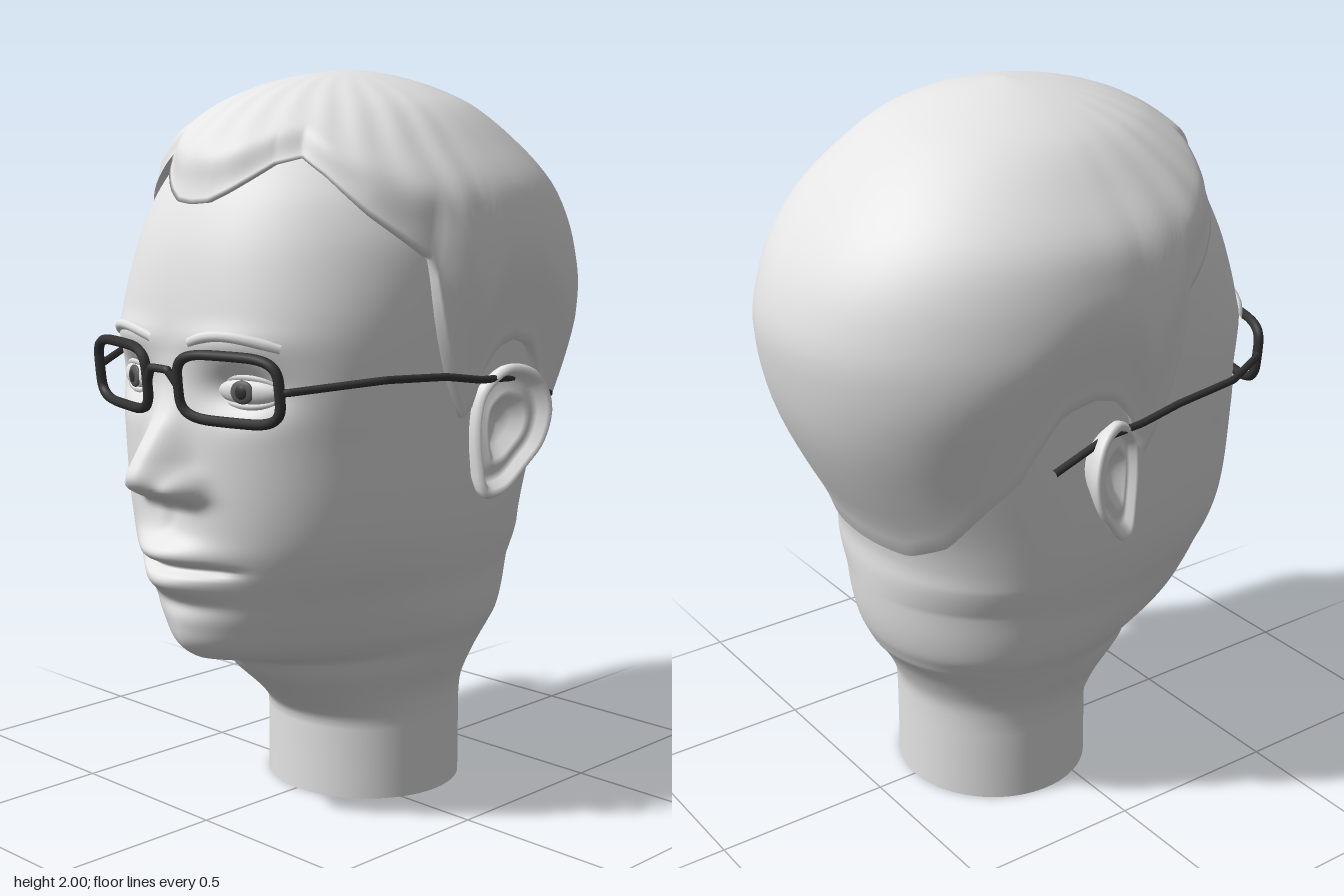
import * as THREE from 'three';

// Head sections: y, front z, back z, half width, centre z, roundness
const SKIN = [
  [0, .16, -.38, .28, -.11, 2], [.2, .16, -.38, .28, -.11, 2], [.23, .165, -.38, .28, -.11, 2],
  [.3, .235, -.385, .29, -.11, 1.95], [.38, .33, -.42, .325, -.1, 1.8], [.425, .37, -.45, .345, -.1, 1.68],
  [.445, .44, -.465, .355, -.1, 1.58], [.46, .51, -.472, .363, -.1, 1.54], [.5, .565, -.49, .384, -.1, 1.6],
  [.56, .585, -.505, .402, -.09, 1.72], [.64, .59, -.515, .418, -.08, 1.95], [.72, .595, -.52, .442, -.06, 2.15],
  [.8, .602, -.52, .46, -.05, 2.27], [.9, .605, -.545, .473, -.05, 2.35], [1.05, .605, -.615, .483, -.05, 2.42],
  [1.2, .6, -.68, .49, -.05, 2.55], [1.35, .597, -.71, .5, -.05, 2.45], [1.5, .57, -.69, .505, -.05, 2.2],
  [1.6, .535, -.65, .495, -.05, 2.1], [1.7, .48, -.575, .455, -.05, 2.1], [1.8, .4, -.45, .37, -.05, 2.1],
  [1.9, .25, -.27, .22, -.05, 2.1],
];
const HAIR = [
  [.8, .63, -.528, .475, -.05, 2.3], [.9, .63, -.582, .488, -.05, 2.3], [1, .63, -.634, .505, -.05, 2.28],
  [1.2, .625, -.707, .54, -.05, 2.25], [1.4, .615, -.743, .565, -.05, 2.15], [1.5, .595, -.73, .566, -.05, 2.1],
  [1.6, .57, -.69, .553, -.05, 2.1], [1.7, .535, -.62, .522, -.05, 2.1], [1.8, .475, -.523, .442, -.05, 2.1],
  [1.9, .345, -.395, .338, -.05, 2], [1.95, .235, -.285, .238, -.05, 2], [1.98, .12, -.185, .14, -.05, 2],
  [1.993, .03, -.11, .07, -.05, 2], [2, -.05, -.05, 0, -.05, 2],
];
// Hairline: angle from the front, height
const HAIRLINE = [
  [0, 1.655], [.1, 1.66], [.2, 1.685], [.44, 1.755], [.6, 1.772], [.72, 1.73], [.95, 1.63], [1.25, 1.52],
  [1.34, 1.365], [1.43, 1.2], [1.5, 1.08], [1.54, 1.2], [1.59, 1.28], [1.69, 1.3], [1.816, 1.275],
  [1.9, 1.2], [2.015, 1.1], [2.21, 1.01], [2.48, .89], [2.75, .835], [3.15, .83],
];
// Nose ridge: y, height, half width
const NOSE = [
  [.875, 0, .09], [.9, .022, .095], [.93, .1, .092], [.97, .135, .082], [1.02, .112, .07],
  [1.085, .066, .06], [1.14, .028, .054], [1.2, .006, .05], [1.28, 0, .05],
];

// Smooth table lookup
function sample(table, y) {
  const last = table.length - 1;
  y = THREE.MathUtils.clamp(y, table[0][0], table[last][0]);
  let i = 0;
  while (i < last - 1 && y > table[i + 1][0]) i++;
  const slope = (k, c) => {
    const p = table[Math.max(k - 1, 0)], q = table[Math.min(k + 1, last)];
    return (q[c] - p[c]) / (q[0] - p[0]);
  };
  const A = table[i], B = table[i + 1], h = B[0] - A[0], s = (y - A[0]) / h;
  const s2 = s * s, s3 = s2 * s;
  return A.slice(1).map((v, k) => v * (2 * s3 - 3 * s2 + 1) + B[k + 1] * (3 * s2 - 2 * s3)
    + h * (slope(i, k + 1) * (s3 - 2 * s2 + s) + slope(i + 1, k + 1) * (s3 - s2)));
}

function hairlineAt(a) {
  a = Math.abs(a);
  let i = 0;
  while (i < HAIRLINE.length - 2 && a > HAIRLINE[i + 1][0]) i++;
  const [p, q] = [HAIRLINE[i], HAIRLINE[i + 1]];
  return THREE.MathUtils.lerp(p[1], q[1], (a - p[0]) / (q[0] - p[0]));
}

// The back half stays close to an ellipse whatever the roundness of the face
function ringPoint(table, a, y) {
  const [f, b, w, zc, n] = sample(table, y);
  const s = Math.sin(a), c = Math.cos(a);
  const e = 2 / (c > 0 ? n : THREE.MathUtils.clamp(n, 2, 2.2));
  return new THREE.Vector3(w * Math.sign(s) * Math.abs(s) ** e, y,
    zc + (c > 0 ? f - zc : b - zc) * Math.abs(c) ** e);
}

const bump = (v, centre, width) => Math.exp(-(((v - centre) / width) ** 2));

// Raised and sunken features of the face
function relief(x, y) {
  const [h, w] = sample(NOSE, y);
  let d = h * Math.exp(-((x / w) ** 2.3));
  d += .04 * bump(x, .09, .034) * bump(y, .945, .038);                  // nostril wings
  d -= .055 * bump(x, .205, .1) * bump(y, 1.195, .058);                 // eye sockets
  d += .014 * bump(x, .18, .14) * bump(y, 1.32, .04);                   // brow ridge
  d += .036 * bump(x, 0, .15) * bump(y, .735, .085);                    // mouth mound
  d += .036 * bump(x, 0, .13) * bump(y, .77, .032);                     // upper lip
  d += .03 * bump(x, 0, .12) * bump(y, .684, .034);                     // lower lip
  d -= .032 * Math.exp(-((x / .18) ** 6)) * bump(y, .728, .013);        // mouth line
  d -= .008 * bump(x, 0, .02) * bump(y, .84, .04);                      // groove under nose
  d -= .012 * bump(x, 0, .13) * bump(y, .622, .025);                    // chin crease
  return d;
}

function skinPoint(a, y) {
  const p = ringPoint(SKIN, a, y);
  if (Math.cos(a) > 0) p.z += relief(Math.abs(p.x), y);
  return p;
}

function faceZ(x, y) {
  const s = sample(SKIN, y);
  return skinPoint(Math.asin((Math.abs(x) / s[2]) ** (s[4] / 2)), y).z;
}

// Closed loft through rings of equal point count
function loft(rings) {
  const cols = rings[0].length, index = [];
  for (let i = 0; i < rings.length - 1; i++) for (let j = 0; j < cols; j++) {
    const a = i * cols + j, b = i * cols + (j + 1) % cols;
    index.push(a, b, b + cols, a, b + cols, a + cols);
  }
  const g = new THREE.BufferGeometry().setFromPoints(rings.flat());
  g.setIndex(index);
  g.computeVertexNormals();
  return g;
}

// Ring angles, closer together at the face
const angles = n => Array.from({ length: n }, (_, j) => {
  const u = -1 + 2 * j / n;
  return Math.PI * (.45 * u + .55 * u ** 3);
});

const vec = p => new THREE.Vector3(...p);
const tube = (points, r, closed = false, tension = 0.5, steps = 64) => new THREE.TubeGeometry(
  new THREE.CatmullRomCurve3(points, closed, 'catmullrom', tension), steps, r, 8, closed);

export function createModel() {
  const mat = (name, color) => Object.assign(new THREE.MeshStandardMaterial({ color }), { name });
  const grey = mat('plaster grey', 0xe4e4e4);
  grey.side = THREE.DoubleSide; // the neck is open below
  const dark = mat('frame charcoal', 0x333333);
  const irisGrey = mat('iris grey', 0x5c5c5c);
  const model = new THREE.Group();
  model.name = 'head';
  const add = (parent, name, geometry, material) => {
    const m = new THREE.Mesh(geometry, material);
    m.name = name;
    parent.add(m);
    return m;
  };

  // Neck and face, with an open base
  const heights = [0, .07, .14];
  for (let y = .2; y < .42; y += .02) heights.push(y);
  for (let y = .42; y < 1.4; y += .008) heights.push(y);
  for (let y = 1.4; y <= 1.9; y += .025) heights.push(y);
  const headAngles = angles(180);
  add(model, 'faceAndNeck', loft(heights.map(y => headAngles.map(a => skinPoint(a, y)))), grey);

  // Hair cap from the hairline up to the crown, with fine radial strands in front
  const hairAngles = angles(240), hairRows = 40, hairRings = [];
  for (let i = -1; i <= hairRows; i++) {
    const t = Math.max(i, 0) / hairRows;
    const k = i < 0 ? 0 : THREE.MathUtils.lerp(.4, 1, THREE.MathUtils.smoothstep(t, 0, .25));
    hairRings.push(hairAngles.map(a => {
      const low = hairlineAt(a), y = low + (2 - low) * Math.sin(t * Math.PI / 2);
      const p = skinPoint(a, Math.min(y, 1.9)).setY(y).lerp(ringPoint(HAIR, a, y), k);
      const strand = .008 * Math.sin(27 * a + 5 * t) * Math.sin(Math.PI * t) ** 2
        * THREE.MathUtils.smoothstep(Math.cos(a), -.3, .5);
      p.x *= 1 + strand;
      p.z += (p.z + .05) * strand;
      return p;
    }));
  }
  add(model, 'hair', loft(hairRings), grey);

  // Ear outline (z, y) and its folds (scale, outward height)
  const earOutline = new THREE.CatmullRomCurve3([
    [0, 1.1], [-.02, 1.18], [-.09, 1.24], [-.165, 1.215], [-.2, 1.13], [-.18, 1.03],
    [-.13, .96], [-.07, .895], [-.025, .888], [-.005, .97],
  ].map(([z, y]) => new THREE.Vector3(0, y, z)), true).getPoints(48).slice(0, 48);
  const earFolds = [[.01, -.02], [.3, -.016], [.46, .01], [.56, .014], [.68, .002], [.78, .008],
    [.86, .03], [.95, .034], [1, .022], [.97, .002], [.85, -.02], [.55, -.07]];
  const earGeometry = loft(earFolds.map(([s, h]) => earOutline.map(p => {
    const z = -.085 + (p.z + .085) * s;
    return new THREE.Vector3(.485 - .45 * z + h, 1.08 + (p.y - 1.08) * s, z);
  })));

  // Eyelid loop and eyebrow path
  const lidPoints = Array.from({ length: 24 }, (_, i) => {
    const a = i / 24 * Math.PI * 2;
    return new THREE.Vector3(.094 * Math.cos(a), .037 * Math.sin(a), .02 * Math.sin(a) ** 2 - .006);
  });
  const browPoints = Array.from({ length: 9 }, (_, i) => {
    const s = i / 8, x = .075 + .235 * s, y = 1.305 + .034 * Math.sin(Math.PI * (.1 + .85 * s));
    return new THREE.Vector3(x, y, faceZ(x, y) + .014 * Math.sin(Math.PI * s) - .008);
  });

  // Glasses rim: a rounded rectangle wrapped round the face
  const rimPoints = Array.from({ length: 40 }, (_, i) => {
    const a = i / 40 * Math.PI * 2, c = Math.cos(a), s = Math.sin(a);
    const x = .207 + .146 * Math.sign(c) * Math.abs(c) ** .5;
    const y = 1.208 + .084 * Math.sign(s) * Math.abs(s) ** .5;
    return new THREE.Vector3(x, y, .628 - .26 * (x - .06) + .1 * (y - 1.208));
  });
  const templePoints = [[.352, 1.21, .552], [.37, 1.212, .535], [.5, 1.235, .33], [.52, 1.225, .13],
    [.527, 1.205, 0], [.535, 1.2, -.12], [.53, 1.14, -.28]].map(vec);

  // Paired parts
  for (const side of [1, -1]) {
    const half = new THREE.Group();
    half.name = side > 0 ? 'leftSide' : 'rightSide';
    half.scale.x = side;
    model.add(half);
    add(half, 'ear', earGeometry, grey);
    add(half, 'eyebrow', tube(browPoints, .014), grey);

    const eye = new THREE.Group();
    eye.name = 'eye';
    eye.position.set(.21, 1.197, faceZ(.21, 1.197) + .004);
    eye.rotation.y = .28;
    half.add(eye);
    const ball = new THREE.SphereGeometry(1, 32, 20);
    add(eye, 'eyeball', ball, grey).scale.set(.094, .038, .032);
    add(eye, 'eyelids', tube(lidPoints, .01, true), grey);
    const iris = add(eye, 'iris', ball, irisGrey);
    iris.position.set(-.006, 0, .027);
    iris.scale.set(.034, .03, .009);
    const pupil = add(eye, 'pupil', ball, dark);
    pupil.position.set(-.006, 0, .031);
    pupil.scale.set(.019, .019, .008);

    add(half, 'glassesRim', tube(rimPoints, .0135, true, .5, 100), dark);
    add(half, 'glassesTemple', tube(templePoints, .01, false, .1, 90), dark);
  }

  // Bridge between the rims
  const bridge = [[-.06, 1.205, .626], [-.032, 1.245, .638], [.032, 1.245, .638], [.06, 1.205, .626]];
  add(model, 'glassesBridge', tube(bridge.map(vec), .011, false, .1, 36), dark);

  return model;
}
